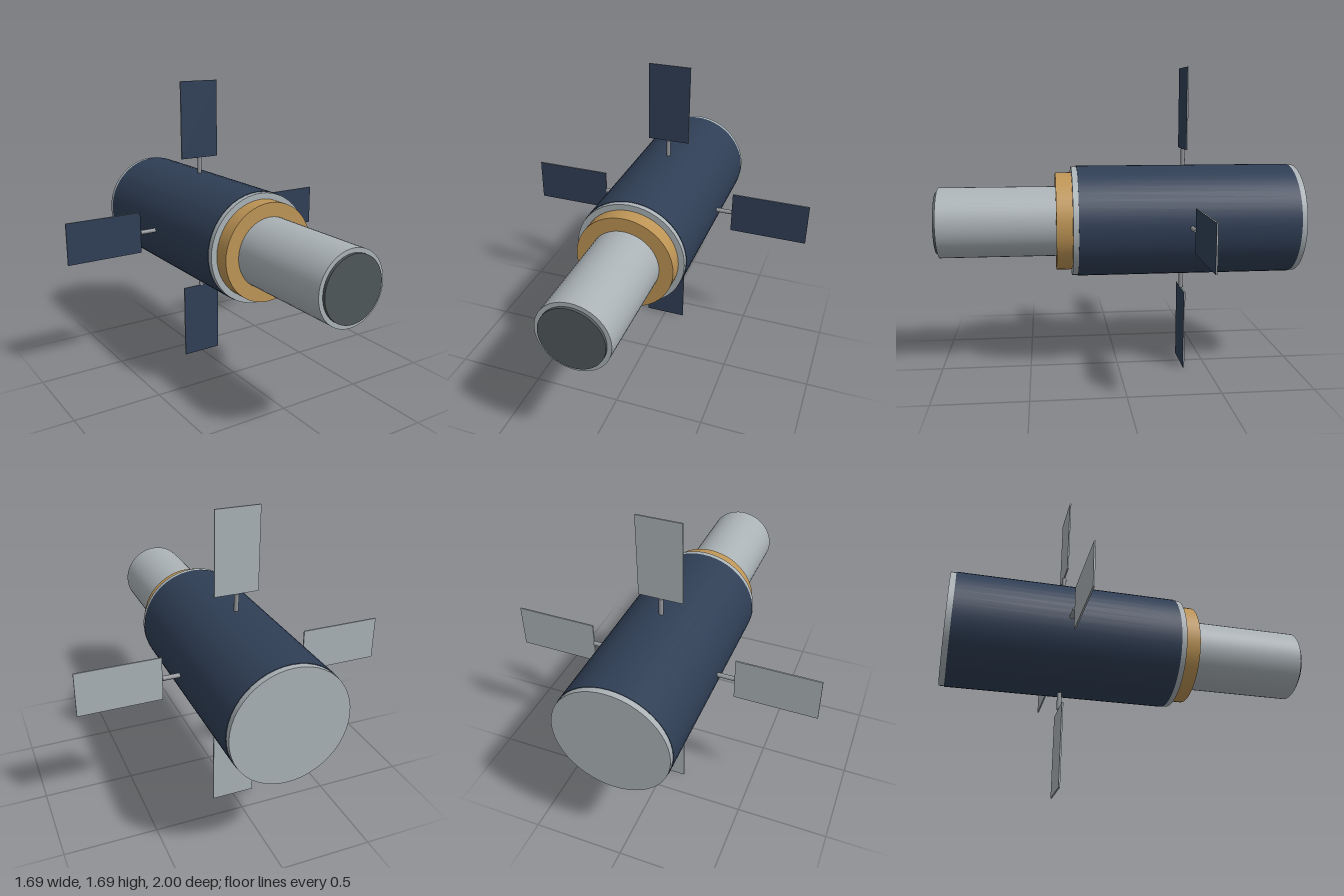
import * as THREE from 'three';

const CENTRE_Y = 0.845;

function flat(name, color) {
  const m = new THREE.MeshStandardMaterial({ color });
  m.name = name;
  return m;
}

export function createModel() {
  const grey = flat('pale grey metal', 0xaab2b6);
  const navy = flat('navy cells', 0x2f3e55);
  const gold = flat('gold foil', 0xbd9455);
  const dark = flat('dark glass', 0x4f5759);
  const steel = flat('strut steel', 0x929599);

  const model = new THREE.Group();
  model.name = 'satellite';
  const body = new THREE.Group();
  body.name = 'body';
  body.position.y = CENTRE_Y;
  model.add(body);

  // Cylinder lying along z, given by its two end positions
  function drum(name, radius, z0, z1, material) {
    const geometry = new THREE.CylinderGeometry(radius, radius, z1 - z0, 48);
    geometry.rotateX(Math.PI / 2);
    const mesh = new THREE.Mesh(geometry, material);
    mesh.name = name;
    mesh.position.z = (z0 + z1) / 2;
    body.add(mesh);
  }

  drum('hull', 0.305, -1, 0.26, grey);
  drum('solarSkin', 0.308, -0.97, 0.23, navy);
  drum('foilCollar', 0.272, 0.25, 0.347, gold);
  drum('telescopeTube', 0.195, 0.34, 0.985, grey);
  drum('aperture', 0.172, 0.97, 1, dark);

  // Four solar wings around the hull, with cells on the front face only
  const strutGeometry = new THREE.CylinderGeometry(0.0125, 0.0125, 0.11, 12);
  const panelGeometry = new THREE.BoxGeometry(0.24, 0.445, 0.008);
  const panelMaterials = [grey, grey, grey, grey, navy, grey];
  for (let i = 0; i < 4; i++) {
    const wing = new THREE.Group();
    wing.name = 'solarWing';
    wing.position.z = -0.37;
    wing.rotation.z = i * Math.PI / 2;

    const strut = new THREE.Mesh(strutGeometry, steel);
    strut.name = 'strut';
    strut.position.y = 0.345;
    const panel = new THREE.Mesh(panelGeometry, panelMaterials);
    panel.name = 'panel';
    panel.position.y = 0.6225;

    wing.add(strut, panel);
    body.add(wing);
  }
  return model;
}
